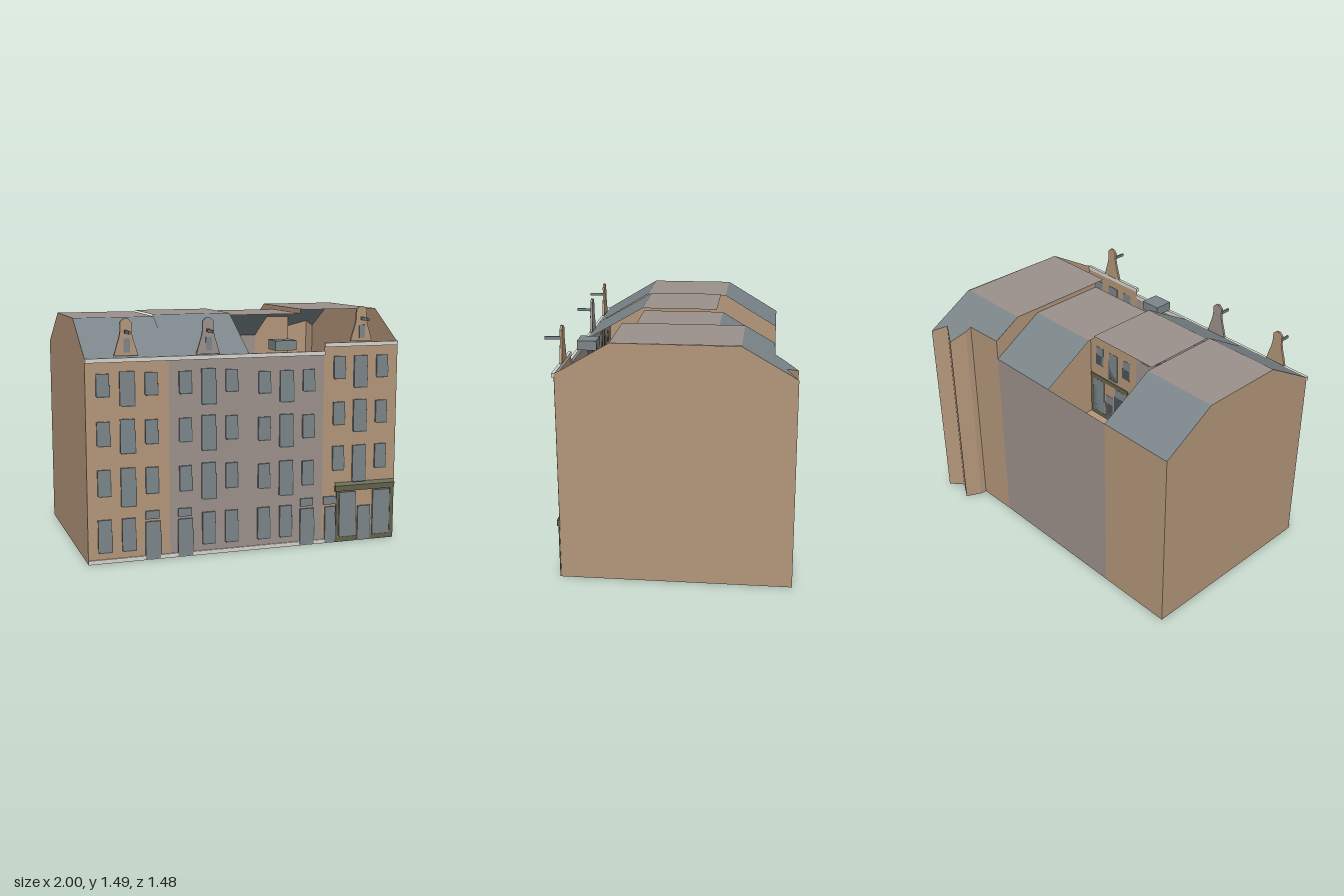
import * as THREE from 'three';

const mat = (name, color) => {
  const m = new THREE.MeshStandardMaterial({ color, side: THREE.DoubleSide, flatShading: true });
  m.name = name;
  return m;
};

export function createModel() {
  const tan = mat('tanBrick', 0xb3967a), mauve = mat('mauveBrick', 0x9c918b);
  const slate = mat('slate', 0x7b8589), dark = mat('darkFrame', 0x4b5153);
  const white = mat('whiteTrim', 0xd6d4ce), olive = mat('oliveWood', 0x62634a);
  const root = new THREE.Group();
  const FRONT = 0.64, BACK = -0.6;

  const add = (name, geo, m) => {
    const mesh = new THREE.Mesh(geo, m);
    mesh.name = name;
    root.add(mesh);
    return mesh;
  };
  // Flat convex polygon as a triangle fan
  const face = (name, m, pts) => {
    const g = new THREE.BufferGeometry();
    const idx = [];
    for (let i = 1; i < pts.length - 1; i++) idx.push(0, i, i + 1);
    g.setAttribute('position', new THREE.Float32BufferAttribute(pts.flat(), 3));
    g.setIndex(idx);
    const flat = g.toNonIndexed();
    flat.computeVertexNormals();
    return add(name, flat, m);
  };
  // Box given by its limits
  const box = (name, m, x0, x1, y0, y1, z0, z1) => {
    const b = add(name, new THREE.BoxGeometry(x1 - x0, y1 - y0, z1 - z0), m);
    b.position.set((x0 + x1) / 2, (y0 + y1) / 2, (z0 + z1) / 2);
    return b;
  };

  // Hollow row of houses; zf and zb are the front and back roof breaks
  const houses = [
    { x0: -1, x1: -0.5, eave: 1.22, top: 1.43, zf: 0.29, zb: -0.25, wall: tan, topMat: mauve, front: true, back: true },
    { x0: -0.5, x1: 0, eave: 1.22, top: 1.44, zf: 0.26, zb: -0.22, wall: mauve, topMat: mauve, front: true, back: false },
    { x0: 0, x1: 0.49, eave: 1.22, top: 1.425, zf: 0.25, zb: -0.26, wall: mauve, topMat: mauve, front: false, back: true },
    { x0: 0.49, x1: 0.99, eave: 1.27, top: 1.455, zf: 0.32, zb: -0.42, wall: tan, topMat: mauve, front: false, back: false },
  ];
  houses.forEach((h, i) => {
    const { x0, x1, eave, top, zf, zb } = h;
    face('frontWall', h.wall, [[x0, 0, FRONT], [x1, 0, FRONT], [x1, eave, FRONT], [x0, eave, FRONT]]);
    face('flatRoof', h.topMat, [[x0, top, zf], [x1, top, zf], [x1, top, zb], [x0, top, zb]]);
    if (h.front) face('frontRoofSlope', slate, [[x0, eave, FRONT], [x1, eave, FRONT], [x1, top, zf], [x0, top, zf]]);
    if (h.back) face('backRoofSlope', slate, [[x1, eave, BACK], [x0, eave, BACK], [x0, top, zb], [x1, top, zb]]);
    if (i < 3) {
      face('backWall', h.wall, [[x1, 0, BACK], [x0, 0, BACK], [x0, eave, BACK], [x1, eave, BACK]]);
      face('floor', h.wall, [[x0, 0, BACK], [x1, 0, BACK], [x1, 0, FRONT], [x0, 0, FRONT]]);
    }
    // Cornice and plinth
    box('cornice', white, x0, x1 - (i === 3 ? 0.005 : 0), eave - 0.025, eave, FRONT - 0.005, 0.655);
    box('plinth', white, x0, i === 3 ? 0.57 : x1, 0, 0.025, FRONT - 0.005, 0.648);
  });

  // End house: zigzag back wall under a sloping roof
  const plan = [[0.49, -0.6], [0.75, -0.605], [0.755, -0.645], [0.8, -0.74], [0.92, -0.67], [1, -0.74]];
  const roofY = z => 1.455 + (z + 0.42) * (0.185 / 0.32);
  for (let i = 0; i < plan.length - 1; i++) {
    const [ax, az] = plan[i], [bx, bz] = plan[i + 1];
    face('backWall', tan, [[bx, 0, bz], [ax, 0, az], [ax, roofY(az), az], [bx, roofY(bz), bz]]);
    face('backRoofSlope', slate, [[bx, roofY(bz), bz], [ax, roofY(az), az], [ax, 1.455, -0.42], [bx, 1.455, -0.42]]);
    face('floor', tan, [[ax, 0, az], [bx, 0, bz], [i === 4 ? 0.985 : bx, 0, FRONT], [ax, 0, FRONT]]);
  }

  // End gables
  face('leftGable', tan, [[0.985, 0, FRONT], [1, 0, -0.74], [1, 1.27, -0.74], [0.997, 1.455, -0.42],
    [0.989, 1.455, 0.32], [0.986, 1.29, 0.6], [0.985, 1.27, FRONT]]);
  face('rightGable', tan, [[-1, 0, BACK], [-1, 0, FRONT], [-1, 1.22, FRONT], [-1, 1.43, 0.29], [-1, 1.43, -0.25], [-1, 1.22, BACK]]);
  // Exposed strip where the end house rises above its neighbour
  face('partyWallSlope', tan, [[0.49, 1.22, BACK], [0.49, 1.425, -0.26], [0.49, 1.455, -0.42], [0.49, 1.35, BACK]]);
  face('partyWallTop', tan, [[0.49, 1.425, -0.26], [0.49, 1.425, 0.25], [0.49, 1.455, 0.25], [0.49, 1.455, -0.42]]);

  // Hoist gables with a window, a dark hatch and a projecting beam
  const hoist = (x, y, m) => {
    const half = [[0.072, 0], [0.058, 0.05], [0.042, 0.1], [0.034, 0.14], [0.034, 0.195], [0.012, 0.215]];
    const s = new THREE.Shape([...half, ...half.map(([a, b]) => [-a, b]).reverse()].map(p => new THREE.Vector2(...p)));
    const g = add('hoistGable', new THREE.ExtrudeGeometry(s, { depth: 0.014, bevelEnabled: false }), m);
    g.position.set(x, y, 0.63);
    box('gableWindow', slate, x - 0.015, x + 0.022, y + 0.02, y + 0.1, 0.643, 0.65);
    box('gableHatch', dark, x - 0.009, x + 0.009, y + 0.13, y + 0.15, 0.643, 0.647);
    box('hoistBeam', slate, x - 0.005, x + 0.005, y + 0.13, y + 0.148, 0.643, 0.74);
  };
  hoist(-0.757, 1.23, tan);
  hoist(-0.26, 1.225, mauve);
  hoist(0.735, 1.275, tan);

  // Roof light
  box('roofLight', slate, 0.17, 0.305, 1.23, 1.29, 0.515, 0.638);

  // Pane in front of a frame that shows at its lower right
  const pane = (name, x, w, y0, y1) => {
    box(name + 'Frame', dark, x - w / 2 + 0.008, x + w / 2 + 0.007, Math.max(0, y0 - 0.008), y1 - 0.07, 0.638, 0.646);
    box(name, slate, x - w / 2, x + w / 2, y0, y1, 0.638, 0.652);
  };
  // Each row: [side bottom, side top, middle bottom, middle top]
  const facades = [
    { cols: [-0.9, -0.755, -0.61], rows: [[1.0, 1.13, 0.94, 1.14], [0.71, 0.85, 0.66, 0.86], [0.41, 0.565, 0.34, 0.57]], low: [0, 1], door: -0.607 },
    { cols: [-0.403, -0.258, -0.113], rows: [[1.0, 1.13, 0.93, 1.14], [0.71, 0.85, 0.65, 0.86], [0.41, 0.56, 0.35, 0.57]], low: [1, 2], door: -0.405 },
    { cols: [0.097, 0.242, 0.387], rows: [[0.98, 1.11, 0.92, 1.11], [0.69, 0.83, 0.64, 0.84], [0.39, 0.54, 0.335, 0.55]], low: [0, 1], door: 0.386 },
    { cols: [0.592, 0.735, 0.882], rows: [[1.05, 1.185, 0.99, 1.185], [0.76, 0.9, 0.71, 0.91], [0.47, 0.62, 0.39, 0.62]], low: [], door: 0.543 },
  ];
  facades.forEach((f, i) => {
    for (const [s0, s1, m0, m1] of f.rows) f.cols.forEach((x, c) =>
      c === 1 ? pane('window', x, 0.088, m0, m1) : pane('window', x, 0.076, s0, s1));
    f.low.forEach(c => pane('groundWindow', f.cols[c], 0.08, 0.07, 0.265));
    pane('door', f.door, i === 3 ? 0.07 : 0.092, 0.005, 0.235);
    box('transom', slate, f.door - 0.045, f.door + 0.04, 0.25, 0.3, 0.638, 0.65);
  });

  // Shop front: glazing, posts and a sloping fascia
  pane('shopWindow', 0.662, 0.112, 0.035, 0.322);
  pane('shopDoor', 0.777, 0.086, 0.005, 0.225);
  pane('shopWindow', 0.897, 0.118, 0.035, 0.322);
  box('shopPost', olive, 0.585, 0.6, 0, 0.33, 0.638, 0.648);
  box('shopPost', olive, 0.96, 0.984, 0, 0.33, 0.638, 0.648);
  box('shopSill', olive, 0.6, 0.73, 0, 0.03, 0.638, 0.647);
  box('shopSill', olive, 0.825, 0.96, 0, 0.03, 0.638, 0.647);
  box('shopFascia', olive, 0.575, 0.986, 0.33, 0.365, 0.635, 0.656);
  face('shopFasciaTop', olive, [[0.575, 0.365, 0.656], [0.986, 0.365, 0.656], [0.986, 0.385, 0.641], [0.575, 0.385, 0.641]]);

  return root;
}
